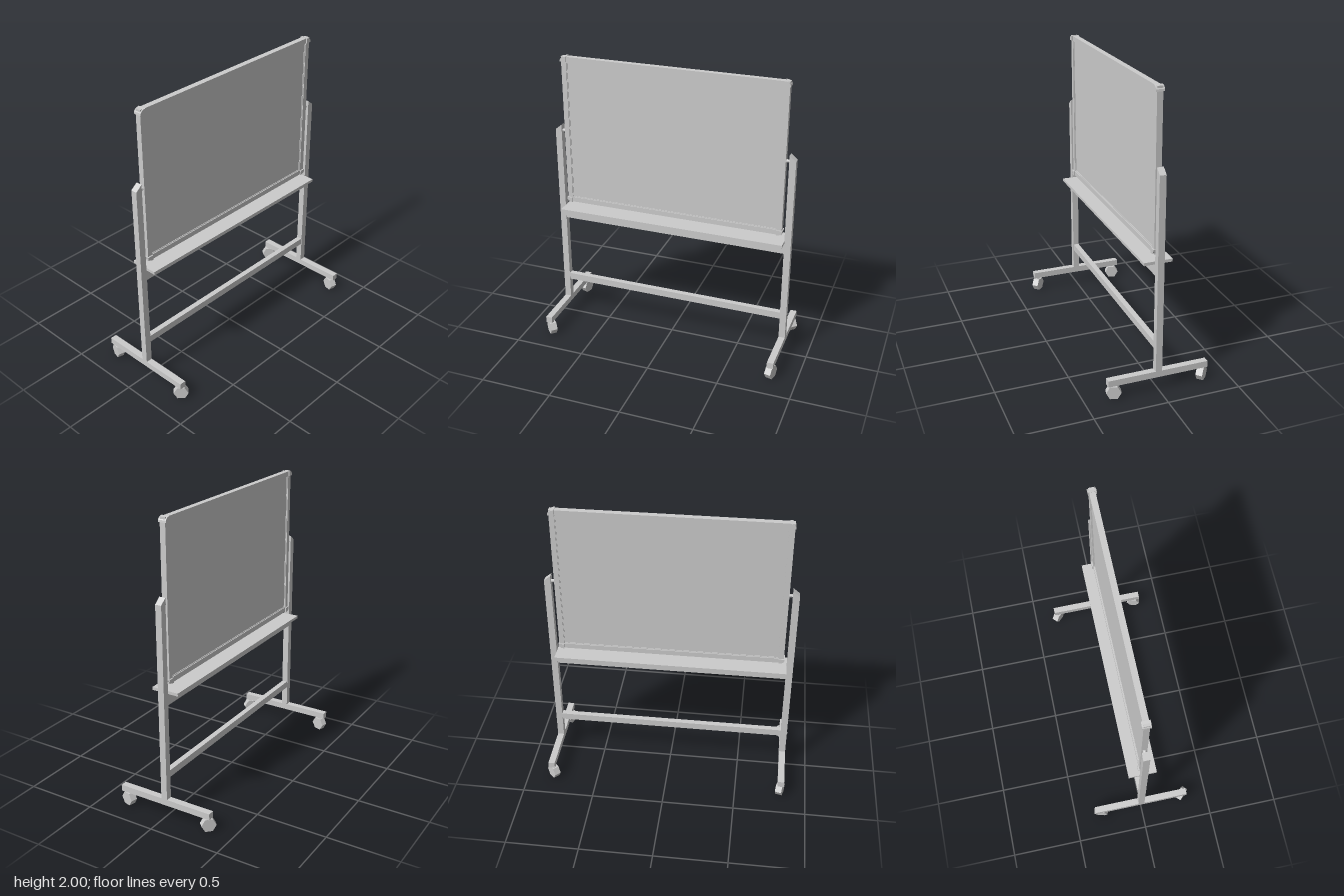
import * as THREE from 'three';

const grey = new THREE.MeshStandardMaterial({ color: 0xcccccc, flatShading: true });

export function createModel() {
  const model = new THREE.Group();
  model.name = 'rollingBoard';

  const add = (name, geometry, x = 0, y = 0, z = 0, parent = model) => {
    const mesh = new THREE.Mesh(geometry, grey);
    mesh.name = name;
    mesh.position.set(x, y, z);
    parent.add(mesh);
    return mesh;
  };
  // Box given by its x and y limits and its full depth, centred on z = 0
  const slab = (name, x0, x1, y0, y1, depth, parent) =>
    add(name, new THREE.BoxGeometry(x1 - x0, y1 - y0, depth), (x0 + x1) / 2, (y0 + y1) / 2, 0, parent);
  // Outline in x and y, extruded symmetrically about z = 0
  const extrude = (points, depth) =>
    new THREE.ExtrudeGeometry(new THREE.Shape(points.map(p => new THREE.Vector2(...p))),
      { depth, bevelEnabled: false }).translate(0, 0, -depth / 2);
  // Rectangular ring, w and h are half sizes, t is the border width
  const ring = (w, h, t, depth) => {
    const rect = (a, b) => [[-a, -b], [a, -b], [a, b], [-a, b]].map(p => new THREE.Vector2(...p));
    const shape = new THREE.Shape(rect(w, h));
    shape.holes.push(new THREE.Path(rect(w - t, h - t)));
    return new THREE.ExtrudeGeometry(shape, { depth, bevelEnabled: false }).translate(0, 0, -depth / 2);
  };

  // Board: panel, lip, frame and corner caps, centred on its own middle
  const board = new THREE.Group();
  board.name = 'board';
  board.position.y = 1.467;
  model.add(board);
  slab('panel', -0.742, 0.742, -0.496, 0.496, 0.018, board);
  add('frameLip', ring(0.745, 0.499, 0.008, 0.027), 0, 0, 0, board);
  add('frame', ring(0.777, 0.531, 0.035, 0.039), 0, 0, 0, board);
  const cap = [[0.742, 0.498], [0.783, 0.498], [0.781, 0.512], [0.773, 0.523], [0.76, 0.531], [0.742, 0.533]];
  for (const sx of [-1, 1]) for (const sy of [-1, 1]) {
    const points = cap.map(([x, y]) => [x * sx, y * sy]);
    add('cornerCap', extrude(points, 0.056), 0, 0, 0, board);
  }

  // Crossbars and tray between the posts
  slab('tray', -0.801, 0.801, 0.88, 0.9, 0.192);
  slab('upperCrossbar', -0.801, 0.801, 0.8, 0.88, 0.038);
  slab('lowerCrossbar', -0.801, 0.801, 0.286, 0.335, 0.038);

  // Posts with slanted tops, feet and board pivots
  for (const s of [-1, 1]) {
    const post = [[0.8, 0.138], [0.845, 0.138], [0.845, 1.475], [0.8, 1.512]].map(([x, y]) => [x * s, y]);
    add('post', extrude(post, 0.044));
    add('foot', new THREE.BoxGeometry(0.045, 0.044, 0.692), s * 0.8225, 0.117, 0);
    add('pivot', new THREE.CylinderGeometry(0.011, 0.011, 0.04, 8).rotateZ(Math.PI / 2), s * 0.788, 1.466, 0);
  }

  // Swivelled six-sided casters, opposite corners matching
  const wheel = new THREE.CylinderGeometry(0.05, 0.05, 0.046, 6).rotateY(Math.PI / 6).rotateX(Math.PI / 2);
  const stem = new THREE.CylinderGeometry(0.014, 0.014, 0.03, 8);
  for (const [x, z, angle] of [[-0.814, 0.318, -45], [-0.82, -0.303, 75]]) {
    for (const s of [-1, 1]) {
      const caster = new THREE.Group();
      caster.name = 'caster';
      caster.position.set(x * s, 0.0433, z * s);
      caster.rotation.y = THREE.MathUtils.degToRad(angle);
      model.add(caster);
      add('wheel', wheel, 0, 0, 0, caster);
      add('stem', stem, 0, 0.045, 0, caster);
    }
  }
  return model;
}
